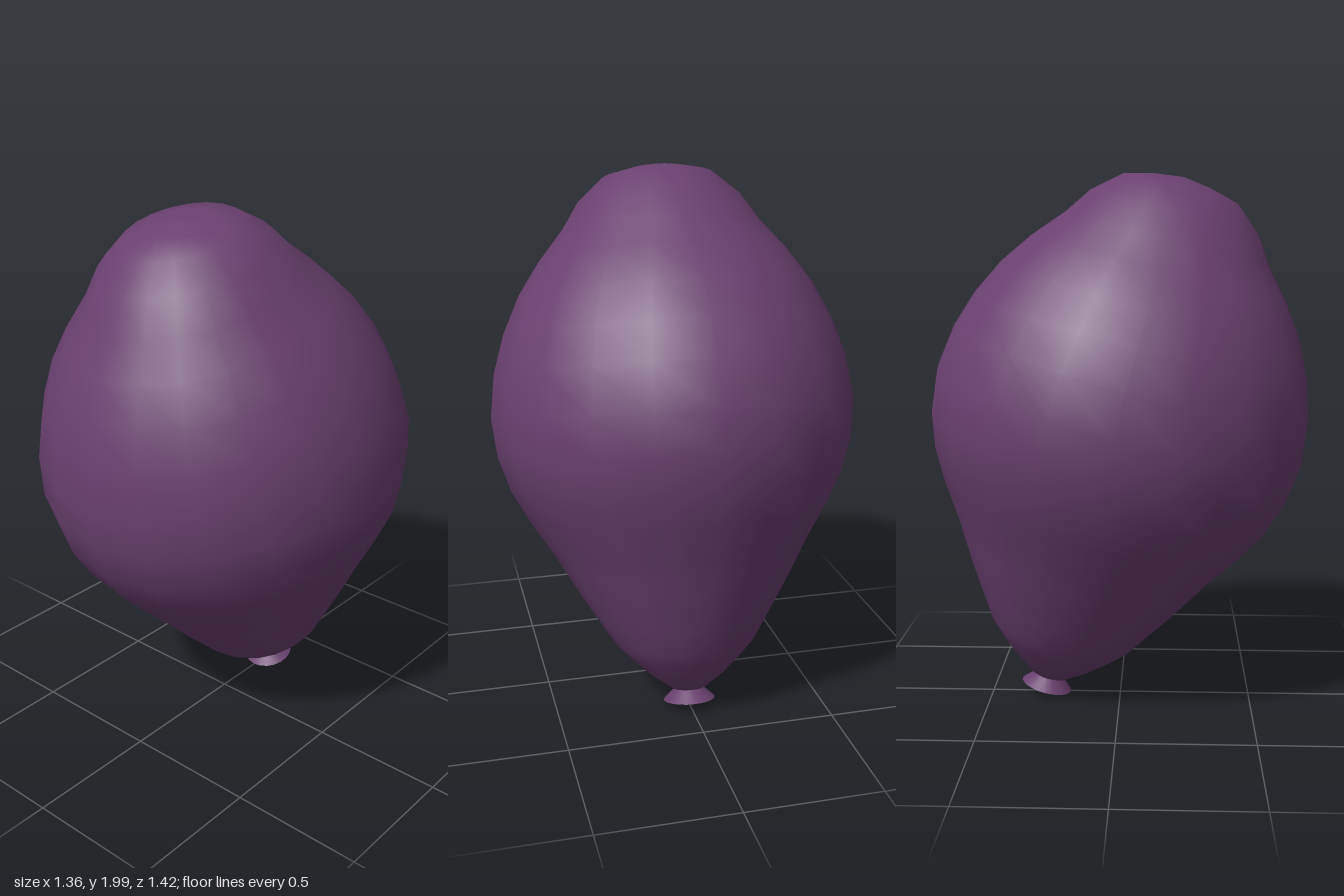
import * as THREE from 'three';
import { toCreasedNormals } from 'three/addons/utils/BufferGeometryUtils.js';

const SIDES = 20;
const lathe = (profile) =>
  new THREE.LatheGeometry(profile.map(([r, y]) => new THREE.Vector2(r, y)), SIDES);

export function createModel() {
  const model = new THREE.Group();
  model.name = 'balloon';
  const rubber = new THREE.MeshStandardMaterial({ color: 0x6a4070, side: THREE.DoubleSide });

  // Everything turns about one axis that leans forward from the knot
  const leaning = new THREE.Group();
  leaning.name = 'leaningBalloon';
  leaning.position.set(0, 0.035, -0.29);
  leaning.rotation.x = THREE.MathUtils.degToRad(15);
  model.add(leaning);

  // Inflated body: radius and height along the axis, slightly narrower sideways
  const body = new THREE.Mesh(lathe([
    [0, 0.03], [0.07, 0.047], [0.15, 0.105], [0.225, 0.175], [0.279, 0.231],
    [0.338, 0.324], [0.4, 0.42], [0.461, 0.523], [0.503, 0.596], [0.585, 0.72],
    [0.654, 0.843], [0.698, 0.974], [0.714, 1.118], [0.691, 1.28], [0.645, 1.42],
    [0.577, 1.557], [0.491, 1.678], [0.388, 1.796], [0.322, 1.893],
    [0.22, 1.98], [0.113, 2.008], [0, 2.024],
  ]), rubber);
  body.name = 'body';
  body.scale.x = 0.95;
  leaning.add(body);

  // Flared knot with a flat end
  const knot = new THREE.Mesh(
    toCreasedNormals(lathe([[0, 0], [0.098, 0], [0.045, 0.05]]), Math.PI / 6), rubber);
  knot.name = 'knot';
  leaning.add(knot);

  return model;
}
